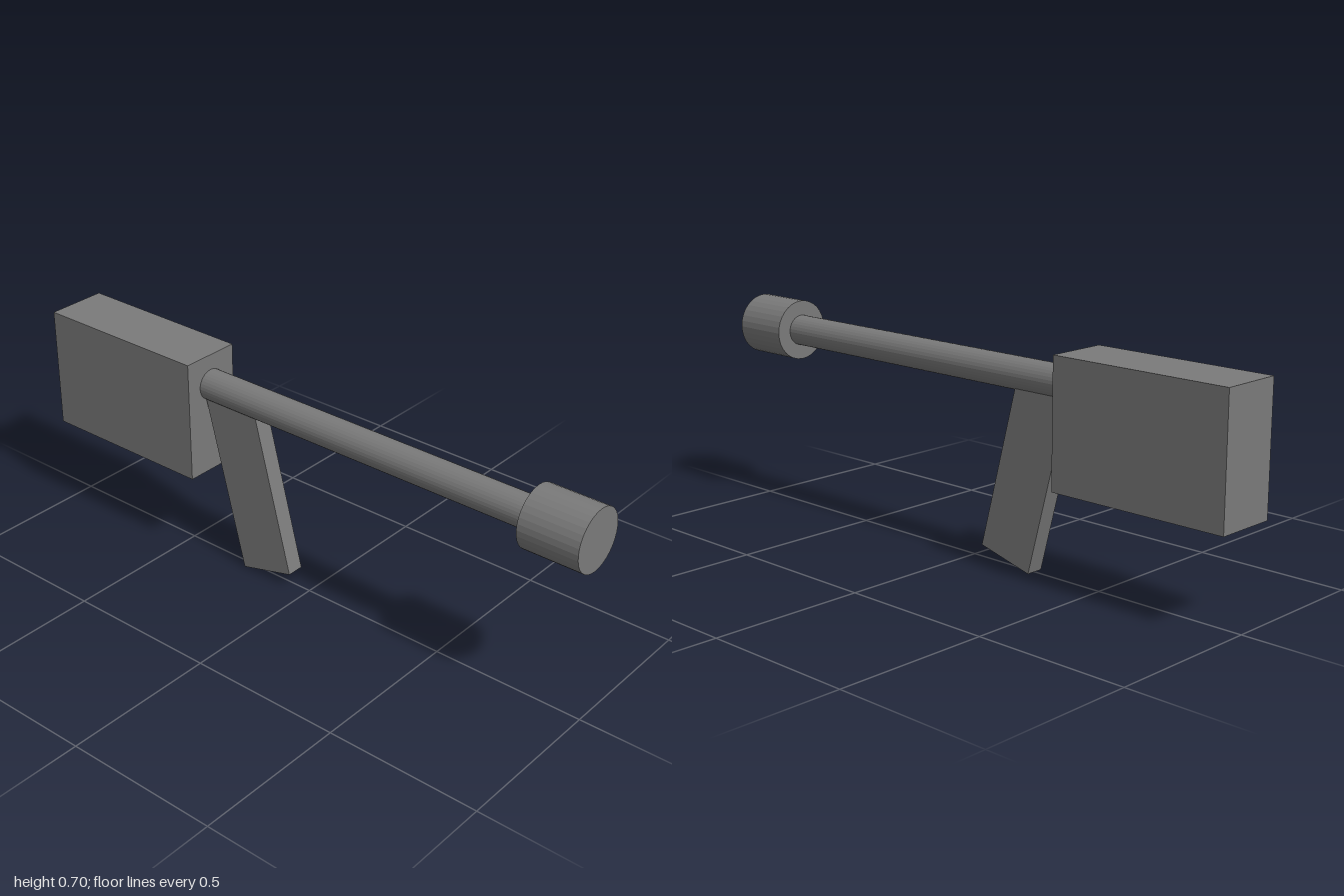
import * as THREE from 'three';

const material = new THREE.MeshStandardMaterial({ color: 0x7a7a7a, flatShading: true });

export function createModel() {
  const model = new THREE.Group();

  const add = (name, geometry, x, y) => {
    const mesh = new THREE.Mesh(geometry, material);
    mesh.name = name;
    mesh.position.set(x, y, 0);
    model.add(mesh);
    return mesh;
  };

  // Cylinder lying along x between two ends
  const rod = (name, radius, x0, x1) =>
    add(name, new THREE.CylinderGeometry(radius, radius, x1 - x0, 32).rotateZ(-Math.PI / 2), (x0 + x1) / 2, 0.6);

  // Rear block
  add('body', new THREE.BoxGeometry(0.6, 0.4, 0.2), -0.7, 0.5);

  // Long thin tube and the wider cap at its end
  rod('barrel', 0.05, -0.4, 0.98);
  rod('muzzle', 0.098, 0.805, 1);

  // Slanted grip whose top is buried in the barrel
  const grip = add('grip', new THREE.BoxGeometry(0.197, 0.6, 0.058), -0.229, 0.315);
  grip.rotation.z = THREE.MathUtils.degToRad(14.6);

  return model;
}
